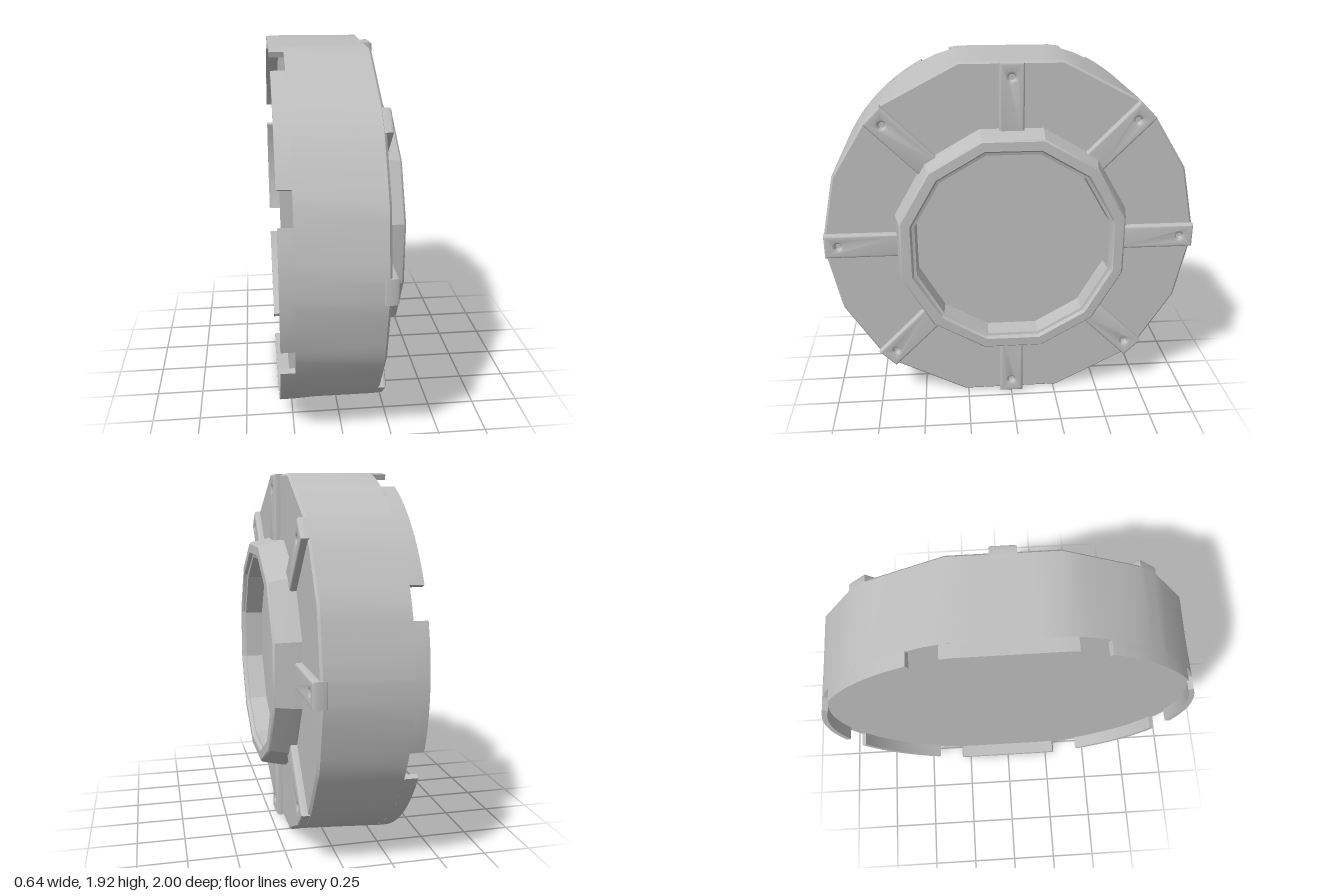
import * as THREE from 'three';
import { toCreasedNormals } from 'three/addons/utils/BufferGeometryUtils.js';

const RAD = Math.PI / 180;
const FLAT = 0.96; // the round body is cut flat at top and bottom

// Front outline, first quadrant; mirrored below to a full loop
const QUAD = [[0.996, 0.065], [0.93, 0.38], [0.754, 0.66], [0.66, 0.754], [0.267, 0.957]];

function frontOutline() {
  const flip = (sx, sy) => QUAD.map(([x, y]) => new THREE.Vector2(x * sx, y * sy));
  return [...flip(1, 1), ...flip(-1, 1).reverse(), ...flip(-1, -1), ...flip(1, -1).reverse()];
}

// Circle of radius r with its top and bottom cut at height f
function cutCircle(a, r, f) {
  return new THREE.Vector2(r * Math.cos(a), THREE.MathUtils.clamp(r * Math.sin(a), -f, f));
}

// Drum: a fine cut circle at the back blends into the faceted front outline
function drumGeometry() {
  const corners = frontOutline();
  const back = [], front = [], steps = 4;
  corners.forEach((p, i) => {
    const q = corners[(i + 1) % corners.length];
    for (let s = 0; s < steps; s++) {
      const m = p.clone().lerp(q, s / steps);
      front.push(m);
      back.push(cutCircle(Math.atan2(m.y, m.x), 1, FLAT));
    }
  });
  const n = front.length;
  const rings = [[back, 0, -0.25], [back, 1, -0.25], [front, 1, 0.168], [front, 0.988, 0.18], [front, 0, 0.18]];
  const pos = [], idx = [];
  rings.forEach(([loop, k, z]) => loop.forEach((p) => pos.push(p.x * k, p.y * k, z)));
  for (let r = 0; r < rings.length - 1; r++) {
    for (let i = 0; i < n; i++) {
      const a = r * n + i, b = r * n + (i + 1) % n;
      if (r > 0) idx.push(a, b, b + n);
      if (r < rings.length - 2) idx.push(a, b + n, a + n);
      else idx.push(a, b, a + n);
      if (r === 0) idx.splice(-3, 3, a, b + n, a + n);
    }
  }
  const g = new THREE.BufferGeometry();
  g.setAttribute('position', new THREE.Float32BufferAttribute(pos, 3));
  g.setIndex(idx);
  return toCreasedNormals(g, 0.6);
}

// Thin rim tab between two notches
function tabGeometry(mid) {
  const half = (22.5 - 4.7) * RAD, steps = 10, outer = [], inner = [];
  for (let i = 0; i <= steps; i++) {
    const a = mid - half + (2 * half * i) / steps;
    outer.push(cutCircle(a, 1, FLAT));
    inner.unshift(cutCircle(a, 0.972, FLAT - 0.028));
  }
  const g = new THREE.ExtrudeGeometry(new THREE.Shape([...outer, ...inner]), { depth: 0.07, bevelEnabled: false });
  g.translate(0, 0, -0.32);
  return toCreasedNormals(g, 0.6);
}

// Raised radial rib with a round blind hole near its outer end
function ribGeometry(end, holeAt) {
  const w = 0.065, bevel = 0.014;
  const s = new THREE.Shape();
  s.moveTo(0.58, -w).lineTo(end, -w).lineTo(end, w).lineTo(0.58, w).closePath();
  const hole = new THREE.Path();
  hole.absarc(holeAt, 0, 0.031 - bevel, 0, Math.PI * 2, true);
  s.holes.push(hole);
  const g = new THREE.ExtrudeGeometry(s, {
    depth: 0.061 - bevel, bevelThickness: bevel, bevelSize: bevel, bevelOffset: -bevel, bevelSegments: 3, curveSegments: 16,
  });
  g.translate(0, 0, 0.154);
  return toCreasedNormals(g, 0.6);
}

// Twelve-sided collar around a sunken disc
function collarGeometry() {
  const profile = [
    [0.64, 0.17], [0.634, 0.215], [0.613, 0.308], [0.604, 0.318], [0.556, 0.32],
    [0.549, 0.312], [0.545, 0.302], [0.53, 0.298], [0.522, 0.2], [0, 0.2],
  ].map(([r, y]) => new THREE.Vector2(r, y));
  const g = new THREE.LatheGeometry(profile, 12, 15 * RAD);
  g.rotateX(Math.PI / 2);
  return toCreasedNormals(g, 0.4);
}

export function createModel() {
  const grey = new THREE.MeshStandardMaterial({ color: 0xbfbfbf });
  grey.name = 'plain grey';

  const model = new THREE.Group();
  model.name = 'hubCover';
  // Parts are built around z, then turned to face +x
  const wheel = new THREE.Group();
  wheel.name = 'wheel';
  wheel.rotation.y = Math.PI / 2;
  wheel.position.y = FLAT;
  model.add(wheel);

  const add = (name, geometry) => {
    const mesh = new THREE.Mesh(geometry, grey);
    mesh.name = name;
    wheel.add(mesh);
    return mesh;
  };

  add('drum', drumGeometry());
  add('collar', collarGeometry());
  for (let i = 0; i < 8; i++) {
    const angle = i * 45 * RAD;
    const vertical = i % 4 === 2;
    add('rimTab', tabGeometry(angle));
    add('rib', ribGeometry(vertical ? 0.958 : 0.998, vertical ? 0.882 : 0.923)).rotation.z = angle;
  }
  return model;
}
